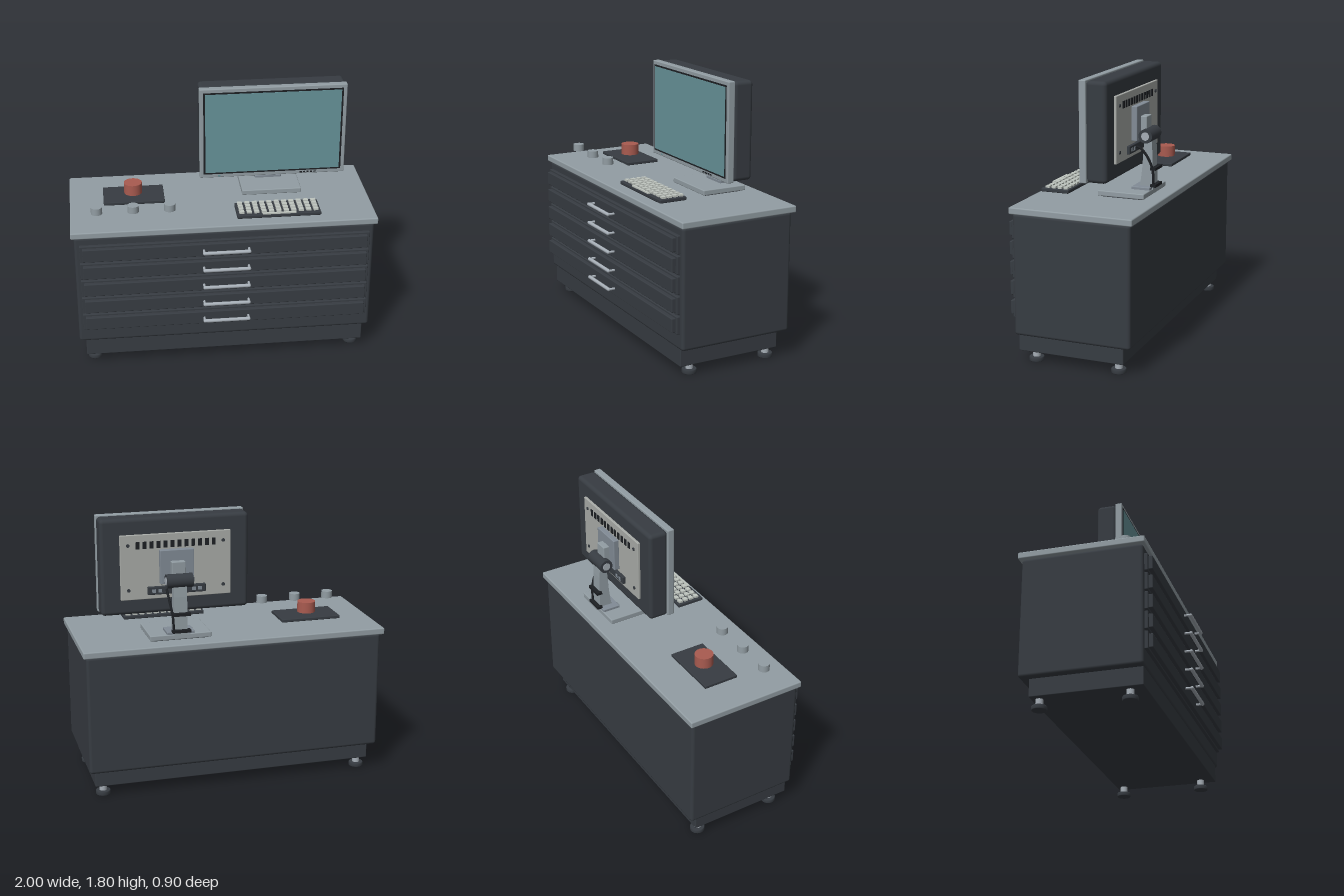
import * as THREE from 'three';
import { RoundedBoxGeometry } from 'three/addons/geometries/RoundedBoxGeometry.js';

const mat = (name, color) => {
  const m = new THREE.MeshStandardMaterial({ color });
  m.name = name;
  return m;
};

export function createModel() {
  const dark = mat('charcoal', 0x373c42);
  const grey = mat('coolGrey', 0x929da3);
  const plateGrey = mat('plateGrey', 0xa9aca8);
  const mountGrey = mat('mountGrey', 0x828c96);
  const metal = mat('metal', 0xa6aeb6);
  const keyTone = mat('keyTone', 0xc0c6c0);
  const teal = mat('screenTeal', 0x67939a);
  const red = mat('red', 0xa95b50);
  const black = mat('black', 0x1d2024);

  const model = new THREE.Group();
  model.name = 'workstationCabinet';
  const group = (name) => {
    const g = new THREE.Group();
    g.name = name;
    model.add(g);
    return g;
  };
  const add = (parent, name, geo, material, x = 0, y = 0, z = 0) => {
    const m = new THREE.Mesh(geo, material);
    m.name = name;
    m.position.set(x, y, z);
    parent.add(m);
    return m;
  };
  // box given by its extents, with an optional rounding radius
  const box = (parent, name, material, [x0, x1], [y0, y1], [z0, z1], r = 0) => {
    const s = [x1 - x0, y1 - y0, z1 - z0];
    const geo = r ? new RoundedBoxGeometry(...s, 3, r) : new THREE.BoxGeometry(...s);
    return add(parent, name, geo, material, (x0 + x1) / 2, (y0 + y1) / 2, (z0 + z1) / 2);
  };
  const cyl = (parent, name, material, r, y0, y1, x, z) =>
    add(parent, name, new THREE.CylinderGeometry(r, r, y1 - y0, 32), material, x, (y0 + y1) / 2, z);

  // cabinet
  const cabinet = group('cabinet');
  box(cabinet, 'body', dark, [-0.98, 0.98], [0.185, 0.972], [-0.43, 0.345], 0.02);
  box(cabinet, 'plinth', dark, [-0.937, 0.937], [0.07, 0.2], [-0.37, 0.335], 0.006);
  box(cabinet, 'worktop', grey, [-1, 1], [0.97, 1.014], [-0.45, 0.36], 0.008);
  for (const x of [-0.88, 0.88]) for (const z of [-0.32, 0.24]) {
    cyl(cabinet, 'footStem', metal, 0.024, 0.025, 0.08, x, z);
    const pad = [[0, 0], [0.044, 0], [0.048, 0.004], [0.048, 0.024], [0.044, 0.028], [0, 0.028]];
    add(cabinet, 'footPad', new THREE.LatheGeometry(pad.map((p) => new THREE.Vector2(...p)), 32), dark, x, 0, z);
  }

  // drawers with bar handles
  for (let i = 0; i < 5; i++) {
    const y = 0.861 - i * 0.1283;
    const drawer = group('drawer');
    box(drawer, 'drawerFrame', dark, [-0.948, 0.948], [y - 0.058, y + 0.058], [0.33, 0.366], 0.005);
    box(drawer, 'drawerPanel', dark, [-0.93, 0.93], [y - 0.045, y + 0.045], [0.35, 0.392], 0.005);
    const bar = add(drawer, 'handleBar', new THREE.CapsuleGeometry(0.012, 0.29, 6, 16), metal, 0, y, 0.434);
    bar.rotation.z = Math.PI / 2;
    for (const x of [-0.147, 0.147]) {
      const post = cyl(drawer, 'handlePost', metal, 0.008, 0, 0.052, x, 0);
      post.rotation.x = Math.PI / 2;
      post.position.set(x, y, 0.41);
    }
  }

  // control pad, red button and three knobs
  const controls = group('controls');
  box(controls, 'controlPad', dark, [-0.775, -0.37], [1.03, 1.05], [-0.21, 0.025], 0.004);
  cyl(controls, 'redButton', red, 0.06, 1.062, 1.135, -0.575, -0.095);
  for (const x of [-0.825, -0.588, -0.35]) cyl(controls, 'knob', grey, 0.037, 1.065, 1.112, x, 0.19);

  // keyboard
  const keyboard = group('keyboard');
  box(keyboard, 'keyboardCase', dark, [0.08, 0.63], [1.034, 1.058], [0.123, 0.312], 0.006);
  for (let r = 0; r < 4; r++) for (let c = 0; c < 11; c++) {
    const x = 0.112 + c * 0.0487, z = 0.15 + r * 0.041;
    box(keyboard, 'key', keyTone, [x - 0.016, x + 0.016], [1.055, 1.071], [z - 0.014, z + 0.014]);
  }
  box(keyboard, 'spaceBar', keyTone, [0.245, 0.465], [1.055, 1.066], [0.295, 0.309]);

  // monitor
  const cx = 0.355;
  const monitor = group('monitor');
  const around = (w) => [cx - w / 2, cx + w / 2];
  box(monitor, 'bezel', grey, around(0.97), [1.166, 1.797], [-0.09, -0.044], 0.006);
  box(monitor, 'rearShell', dark, around(0.966), [1.17, 1.793], [-0.222, -0.088], 0.025);
  box(monitor, 'screenBorder', black, around(0.92), [1.192, 1.772], [-0.048, -0.042]);
  box(monitor, 'screen', teal, around(0.896), [1.203, 1.761], [-0.046, -0.04]);
  for (let i = 0; i < 5; i++) {
    const x = 0.548 + i * 0.023;
    box(monitor, 'bezelButton', black, [x - 0.007, x + 0.007], [1.175, 1.184], [-0.048, -0.041]);
  }
  box(monitor, 'powerLight', teal, [-0.008, 0.008], [1.175, 1.184], [-0.048, -0.041]);

  // rear plate with vents, screws and ports
  box(monitor, 'rearPlate', plateGrey, around(0.72), [1.27, 1.69], [-0.238, -0.215], 0.004);
  for (let i = 0; i < 12; i++) {
    const x = cx + (i - 5.5) * 0.045;
    box(monitor, 'vent', black, [x - 0.012, x + 0.012], [1.6, 1.645], [-0.243, -0.235]);
  }
  for (const x of [-0.31, 0.31]) for (const y of [1.335, 1.625]) {
    const screw = cyl(monitor, 'screw', dark, 0.011, 0, 0.012, 0, 0);
    screw.rotation.x = Math.PI / 2;
    screw.position.set(cx + x, y, -0.238);
  }
  box(monitor, 'portStrip', dark, around(0.38), [1.3, 1.352], [-0.258, -0.235], 0.005);
  for (const x of [-0.15, -0.11, 0.11, 0.15]) {
    box(monitor, 'port', mountGrey, [cx + x - 0.012, cx + x + 0.012], [1.315, 1.337], [-0.262, -0.255]);
  }

  // stand
  const stand = group('stand');
  box(stand, 'mountPlate', mountGrey, around(0.22), [1.37, 1.59], [-0.275, -0.235], 0.005);
  box(stand, 'mountBlock', grey, around(0.09), [1.4, 1.52], [-0.315, -0.27], 0.005);
  const hinge = cyl(stand, 'hinge', dark, 0.045, 0, 0.17, 0, 0);
  hinge.rotation.z = Math.PI / 2;
  hinge.position.set(cx, 1.4, -0.32);
  const cap = cyl(stand, 'hingeCap', metal, 0.026, 0, 0.178, 0, 0);
  cap.rotation.z = Math.PI / 2;
  cap.position.copy(hinge.position);

  // column side profile (depth behind, height), extruded across its width
  const side = [[0.3, 1.4], [0.345, 1.4], [0.352, 1.3], [0.357, 1.05], [0.25, 1.05], [0.272, 1.09], [0.284, 1.18]];
  const column = new THREE.ExtrudeGeometry(new THREE.Shape(side.map((p) => new THREE.Vector2(...p))),
    { depth: 0.085, bevelEnabled: false });
  add(stand, 'column', column, grey, cx - 0.0425, 0, 0).rotation.y = Math.PI / 2;
  box(stand, 'columnFoot', mountGrey, around(0.18), [1.05, 1.075], [-0.352, -0.23], 0.005);
  box(stand, 'standBase', grey, around(0.4), [1.022, 1.057], [-0.355, -0.045], 0.006);
  box(stand, 'baseGlide', dark, around(0.35), [1.012, 1.024], [-0.33, -0.07]);

  // cable with clips behind the column
  for (const y of [1.08, 1.19]) box(stand, 'cableClip', black, around(0.12), [y - 0.009, y + 0.009], [-0.382, -0.345]);
  const path = new THREE.CatmullRomCurve3([
    [0.42, 1.33, -0.245], [0.425, 1.32, -0.285], [0.42, 1.26, -0.332], [0.41, 1.19, -0.357],
    [0.405, 1.12, -0.362], [0.4, 1.07, -0.358],
  ].map((p) => new THREE.Vector3(...p)));
  add(stand, 'cable', new THREE.TubeGeometry(path, 32, 0.008, 10), black);

  return model;
}
